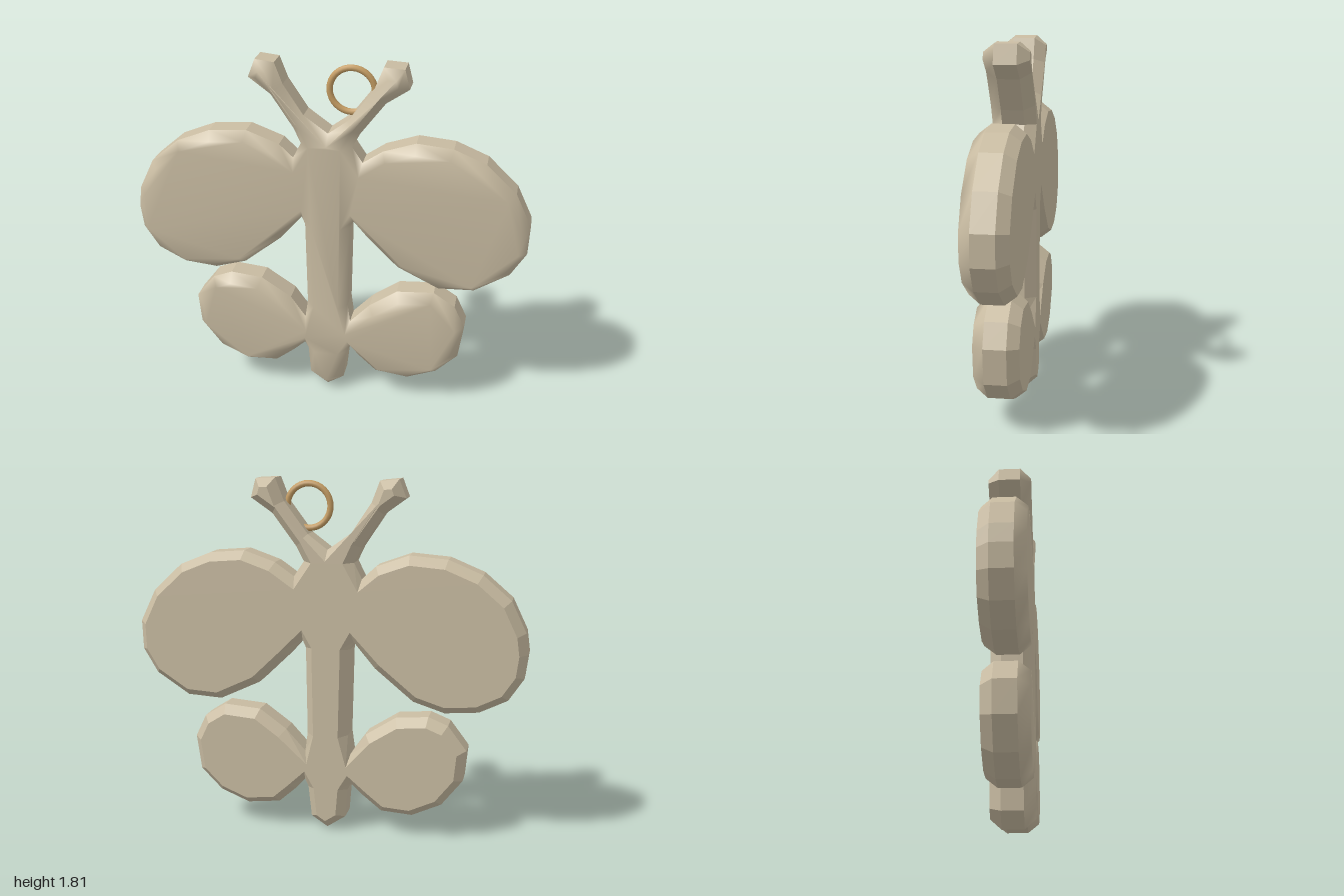
import * as THREE from 'three';

const clay = new THREE.MeshStandardMaterial({ color: 0xc9bca2 });
clay.name = 'warm clay';
const brass = new THREE.MeshStandardMaterial({ color: 0xc49c62 });
brass.name = 'brass';

// Outline of each half, from the notch between the antennae down to the tail
const leftHalf = [
  [0, 1.46], [0.1, 1.535], [0.22, 1.695], [0.265, 1.81], [0.365, 1.805], [0.39, 1.71], [0.28, 1.635], [0.16, 1.475], [0.12, 1.4],
  // upper wing
  [0.172, 1.322], [0.27, 1.39], [0.43, 1.445], [0.61, 1.43], [0.77, 1.365], [0.92, 1.225], [1, 1.06], [0.995, 0.91],
  [0.92, 0.785], [0.75, 0.675], [0.57, 0.665], [0.36, 0.765], [0.21, 0.91], [0.13, 1], [0.112, 0.96],
  // lower wing
  [0.105, 0.51], [0.118, 0.41], [0.22, 0.52], [0.36, 0.62], [0.55, 0.635], [0.66, 0.565], [0.715, 0.45], [0.69, 0.27],
  [0.58, 0.16], [0.43, 0.1], [0.26, 0.12], [0.17, 0.2], [0.12, 0.255], [0.102, 0.215], [0.085, 0.055], [0, 0],
];
const rightHalf = [
  [-0.12, 1.545], [-0.22, 1.695], [-0.26, 1.8], [-0.355, 1.81], [-0.39, 1.72], [-0.28, 1.64], [-0.17, 1.475], [-0.135, 1.4],
  // upper wing
  [-0.175, 1.32], [-0.245, 1.385], [-0.41, 1.445], [-0.6, 1.43], [-0.77, 1.36], [-0.91, 1.24], [-0.985, 1.085], [-1, 0.98],
  [-0.985, 0.86], [-0.91, 0.745], [-0.77, 0.675], [-0.6, 0.66], [-0.44, 0.71], [-0.245, 0.87], [-0.135, 1], [-0.118, 0.96],
  // lower wing
  [-0.108, 0.51], [-0.122, 0.41], [-0.2, 0.52], [-0.355, 0.62], [-0.52, 0.635], [-0.62, 0.595], [-0.715, 0.47], [-0.7, 0.31],
  [-0.595, 0.175], [-0.445, 0.105], [-0.285, 0.115], [-0.19, 0.19], [-0.125, 0.25], [-0.107, 0.215], [-0.095, 0.065],
];

// Smooths the front face and its bevel together; sides and back stay faceted
function smoothFront(geometry, zMin) {
  const geo = geometry.index ? geometry.toNonIndexed() : geometry;
  geo.computeVertexNormals();
  const pos = geo.attributes.position, normal = geo.attributes.normal;
  const sums = new Map(), front = [];
  const key = (i) => `${pos.getX(i).toFixed(4)},${pos.getY(i).toFixed(4)},${pos.getZ(i).toFixed(4)}`;
  const a = new THREE.Vector3(), b = new THREE.Vector3(), c = new THREE.Vector3();
  for (let i = 0; i < pos.count; i += 3) {
    if (Math.min(pos.getZ(i), pos.getZ(i + 1), pos.getZ(i + 2)) < zMin) continue;
    a.fromBufferAttribute(pos, i);
    b.fromBufferAttribute(pos, i + 1).sub(a);
    c.fromBufferAttribute(pos, i + 2).sub(a);
    b.cross(c);
    for (let j = i; j < i + 3; j++) {
      const k = key(j);
      if (!sums.has(k)) sums.set(k, new THREE.Vector3());
      sums.get(k).add(b);
      front.push(j);
    }
  }
  for (const i of front) {
    a.copy(sums.get(key(i))).normalize();
    normal.setXYZ(i, a.x, a.y, a.z);
  }
  return geo;
}

export function createModel() {
  const model = new THREE.Group();
  model.name = 'butterflyPendant';

  // Butterfly: one slab with bevelled front and back edges
  const outline = [...leftHalf, ...rightHalf.slice().reverse()].map(([x, y]) => new THREE.Vector2(x, y));
  const slab = new THREE.ExtrudeGeometry(new THREE.Shape(outline), {
    depth: 0.11, bevelEnabled: true, bevelSegments: 1,
    bevelThickness: 0.055, bevelSize: 0.042, bevelOffset: -0.042,
  });
  slab.translate(0, 0, -0.055);
  const butterfly = new THREE.Mesh(smoothFront(slab, 0.05), clay);
  butterfly.name = 'butterflyBody';
  model.add(butterfly);

  // Hanging ring sunk into one antenna
  const ring = new THREE.Mesh(new THREE.TorusGeometry(0.11, 0.016, 10, 32), brass);
  ring.name = 'hangingRing';
  ring.position.set(0.107, 1.67, 0);
  model.add(ring);

  return model;
}
